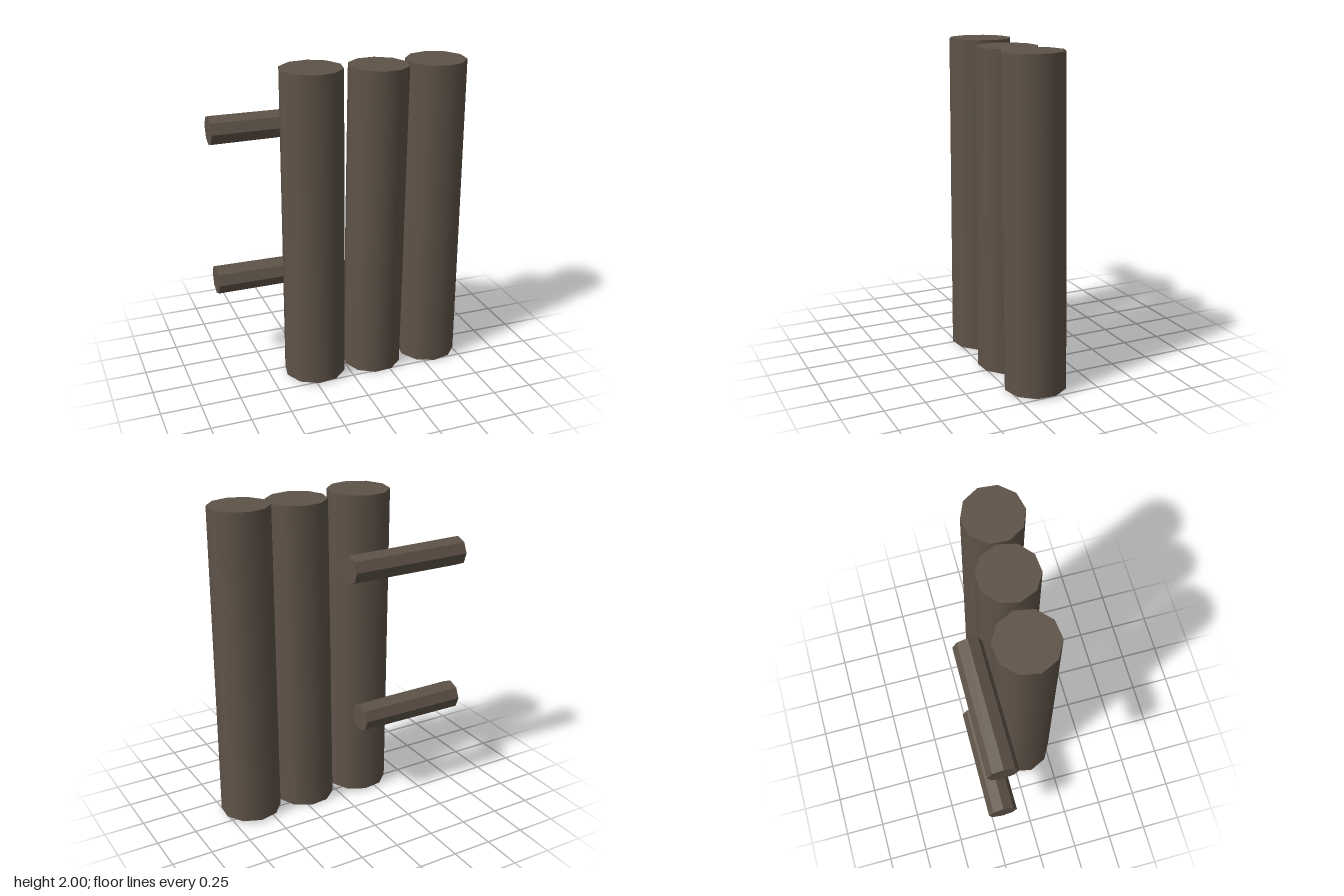
import * as THREE from 'three';

const UP = new THREE.Vector3(0, 1, 0);

// Tapered pole running from point a to point b, with a twist around its own axis
function pole(name, a, b, radiusA, radiusB, sides, twist, material) {
  const start = new THREE.Vector3(...a);
  const end = new THREE.Vector3(...b);
  const axis = end.clone().sub(start);
  const geometry = new THREE.CylinderGeometry(radiusB, radiusA, axis.length(), sides);
  geometry.rotateY(THREE.MathUtils.degToRad(twist));
  const mesh = new THREE.Mesh(geometry, material);
  mesh.name = name;
  mesh.position.copy(start).add(end).multiplyScalar(0.5);
  mesh.quaternion.setFromUnitVectors(UP, axis.normalize());
  return mesh;
}

export function createModel() {
  const group = new THREE.Group();
  group.name = 'logFence';

  const wood = new THREE.MeshStandardMaterial({ color: 0x5f5348 });
  wood.name = 'dark wood';

  // Three upright logs, each leaning a little differently
  const logs = [
    ['rightLog', [-0.207, 0.01, 0.084], [-0.208, 2.0, 0.081], 0.196, 0.192, 25],
    ['middleLog', [0.188, 0.003, 0.084], [0.208, 1.987, 0.094], 0.187, 0.185, 23],
    ['leftLog', [0.58, 0.01, 0.083], [0.573, 1.995, 0.108], 0.19, 0.186, -5],
  ];
  for (const [name, a, b, ra, rb, twist] of logs) {
    group.add(pole(name, a, b, ra, rb, 10, twist, wood));
  }

  // Two faceted crossbars behind the logs
  const bars = [
    ['upperCrossbar', 1.598, 0.02],
    ['lowerCrossbar', 0.608, -0.065],
  ];
  for (const [name, y, endX] of bars) {
    const bar = pole(name, [-0.765, y, -0.202], [endX, y, -0.198], 0.092, 0.088, 8, 2, wood);
    // Flat facets: split the corners and give each face its own normal
    bar.geometry = bar.geometry.toNonIndexed();
    bar.geometry.computeVertexNormals();
    group.add(bar);
  }

  return group;
}
